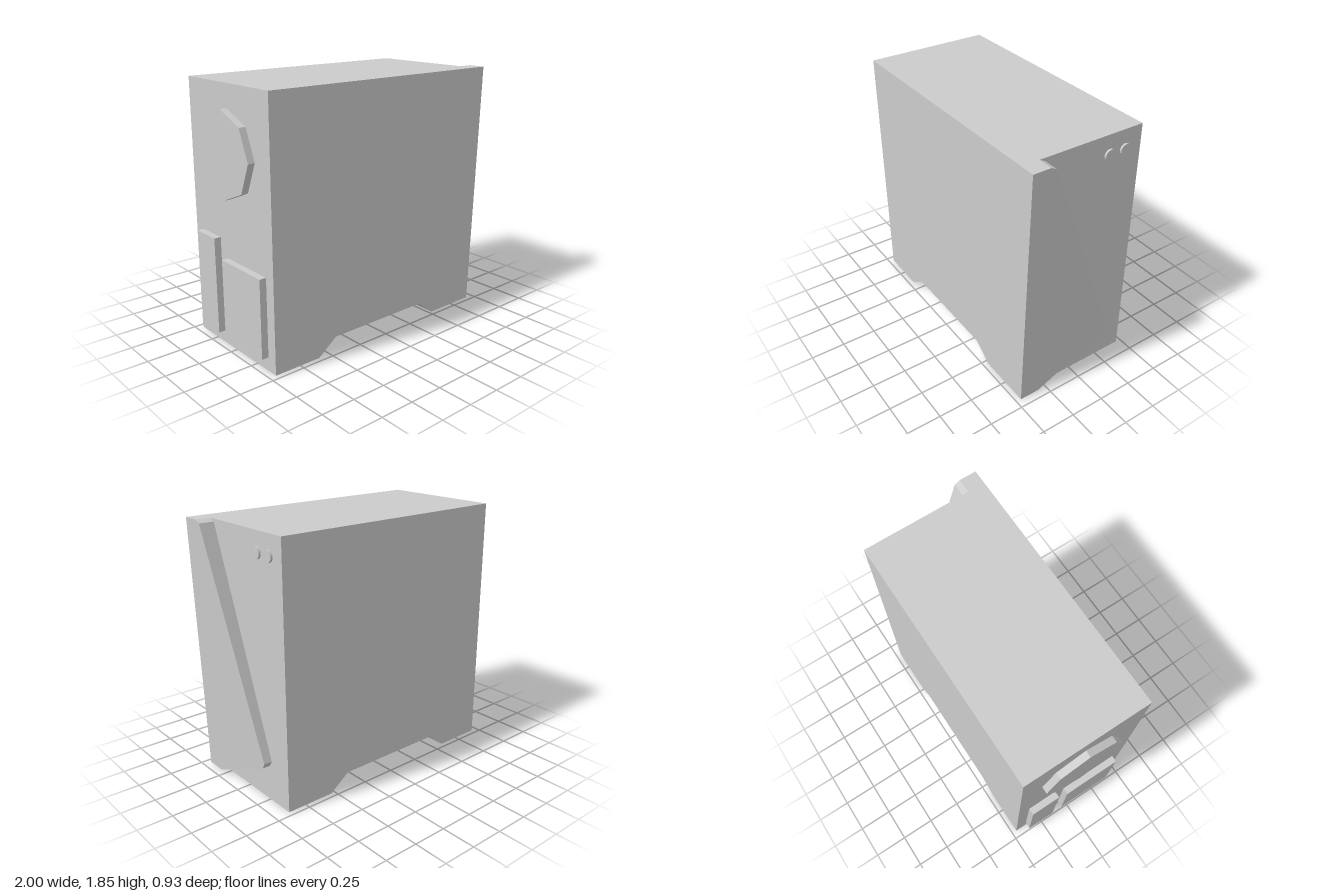
import * as THREE from 'three';

const material = new THREE.MeshStandardMaterial({ color: 0xcccccc, flatShading: true });
const D = 0.4625; // half depth of the case
const H = 1.85;   // height of the case
const FACE = 0.89, REAR = -0.95; // x of the two end walls

function part(name, geometry, x = 0, y = 0, z = 0) {
  const mesh = new THREE.Mesh(geometry, material);
  mesh.name = name;
  mesh.position.set(x, y, z);
  return mesh;
}

function extrude(points, depth) {
  const shape = new THREE.Shape(points.map(([x, y]) => new THREE.Vector2(x, y)));
  return new THREE.ExtrudeGeometry(shape, { depth, bevelEnabled: false });
}

// Short cylinder lying along x
function disc(radius, thickness, sides) {
  return new THREE.CylinderGeometry(radius, radius, thickness, sides).rotateZ(Math.PI / 2);
}

export function createModel() {
  const model = new THREE.Group();
  model.name = 'computerCase';

  // Case body with a notch underneath that leaves two feet
  const body = extrude([
    [REAR, 0], [-0.59, 0], [-0.44, 0.11], [0.38, 0.11], [0.53, 0],
    [FACE, 0], [FACE, H], [REAR, H],
  ], 2 * D);
  model.add(part('caseBody', body, 0, 0, -D));

  // Angular face panel, drawn in (-z, y), growing thicker towards the top
  const panel = extrude([
    [-D, 0], [-0.315, 0], [0.255, 0.26], [0.277, 0.3],
    [-0.295, 1.83], [-0.335, H], [-D, H],
  ], 1).rotateY(Math.PI / 2);
  const pos = panel.attributes.position;
  for (let i = 0; i < pos.count; i++) {
    const outer = 0.94 + 0.06 * pos.getY(i) / H;
    pos.setX(i, pos.getX(i) > 0.5 ? outer : FACE);
  }
  panel.computeVertexNormals();
  model.add(part('facePanel', panel));

  // Two round buttons
  for (const z of [-0.205, -0.33]) {
    model.add(part('button', disc(0.04, 0.015, 16), FACE + 0.0075, 1.71, z));
  }

  // Rear fan housing and the two port plates
  const rearX = REAR - 0.025;
  model.add(part('fanHousing', disc(0.3, 0.05, 8), rearX, 1.39, 0));
  model.add(part('narrowPortPlate', new THREE.BoxGeometry(0.05, 0.7, 0.225), rearX, 0.44, -0.26));
  model.add(part('widePortPlate', new THREE.BoxGeometry(0.05, 0.56, 0.445), rearX, 0.38, 0.16));

  return model;
}
